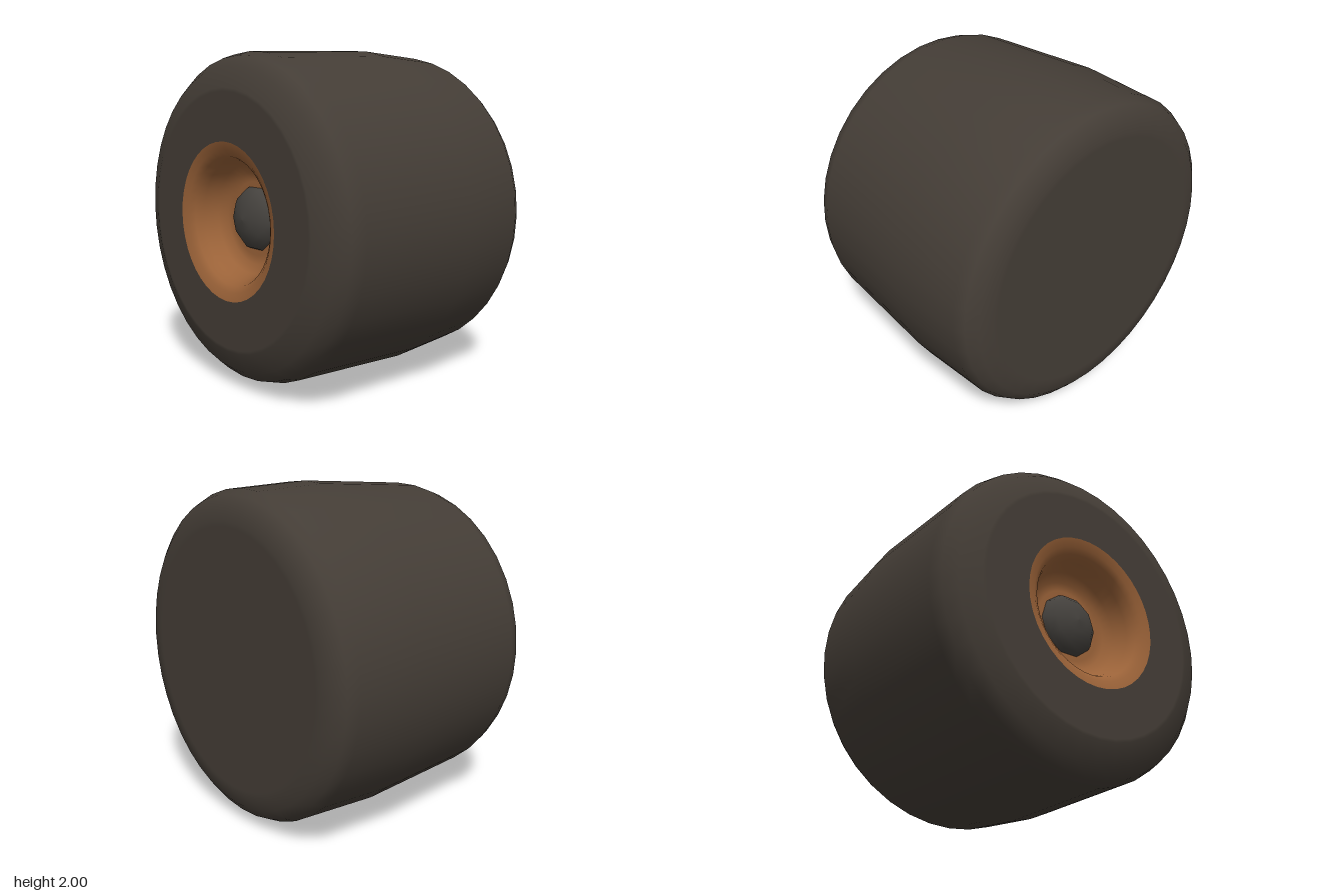
import * as THREE from 'three';

const SEGMENTS = 40;

// Spins a profile of [x, radius] pairs, listed from -x to +x, around the x axis
function spin(name, profile, material, segments = SEGMENTS) {
  const points = profile.map(([x, r]) => new THREE.Vector2(r, x));
  const geometry = new THREE.LatheGeometry(points, segments);
  geometry.rotateZ(-Math.PI / 2);
  const mesh = new THREE.Mesh(geometry, material);
  mesh.name = name;
  return mesh;
}

export function createModel() {
  const rubber = new THREE.MeshStandardMaterial({ color: 0x443d36 });
  rubber.name = 'dark rubber';
  const copper = new THREE.MeshStandardMaterial({ color: 0x9a6238 });
  copper.name = 'copper';
  const steel = new THREE.MeshStandardMaterial({ color: 0x45423e });
  steel.name = 'dark steel';

  const wheel = new THREE.Group();
  wheel.name = 'wheel';

  // Barrel-shaped tyre: flat sides, rounded shoulders, a crown off centre
  wheel.add(spin('tyre', [
    [-0.77, 0.46], [-0.77, 0.74], [-0.77, 0.76], [-0.725, 0.88], [-0.66, 0.94],
    [-0.58, 0.965], [0.2, 1.0], [0.65, 0.972], [0.71, 0.94], [0.755, 0.88],
    [0.77, 0.8], [0.77, 0.77], [0.77, 0],
  ], rubber));

  // Dished hub sunk into the -x side
  wheel.add(spin('hubDish', [
    [-0.55, 0], [-0.55, 0.22], [-0.56, 0.27], [-0.6, 0.32],
    [-0.68, 0.35], [-0.73, 0.375], [-0.755, 0.41], [-0.77, 0.46],
  ], copper));

  // Domed axle cap in the middle of the dish
  wheel.add(spin('axleCap', [
    [-0.65, 0], [-0.642, 0.07], [-0.615, 0.14], [-0.58, 0.18], [-0.545, 0.195],
  ], steel, 10));

  const model = new THREE.Group();
  model.name = 'model';
  wheel.position.y = 1;
  model.add(wheel);
  return model;
}
